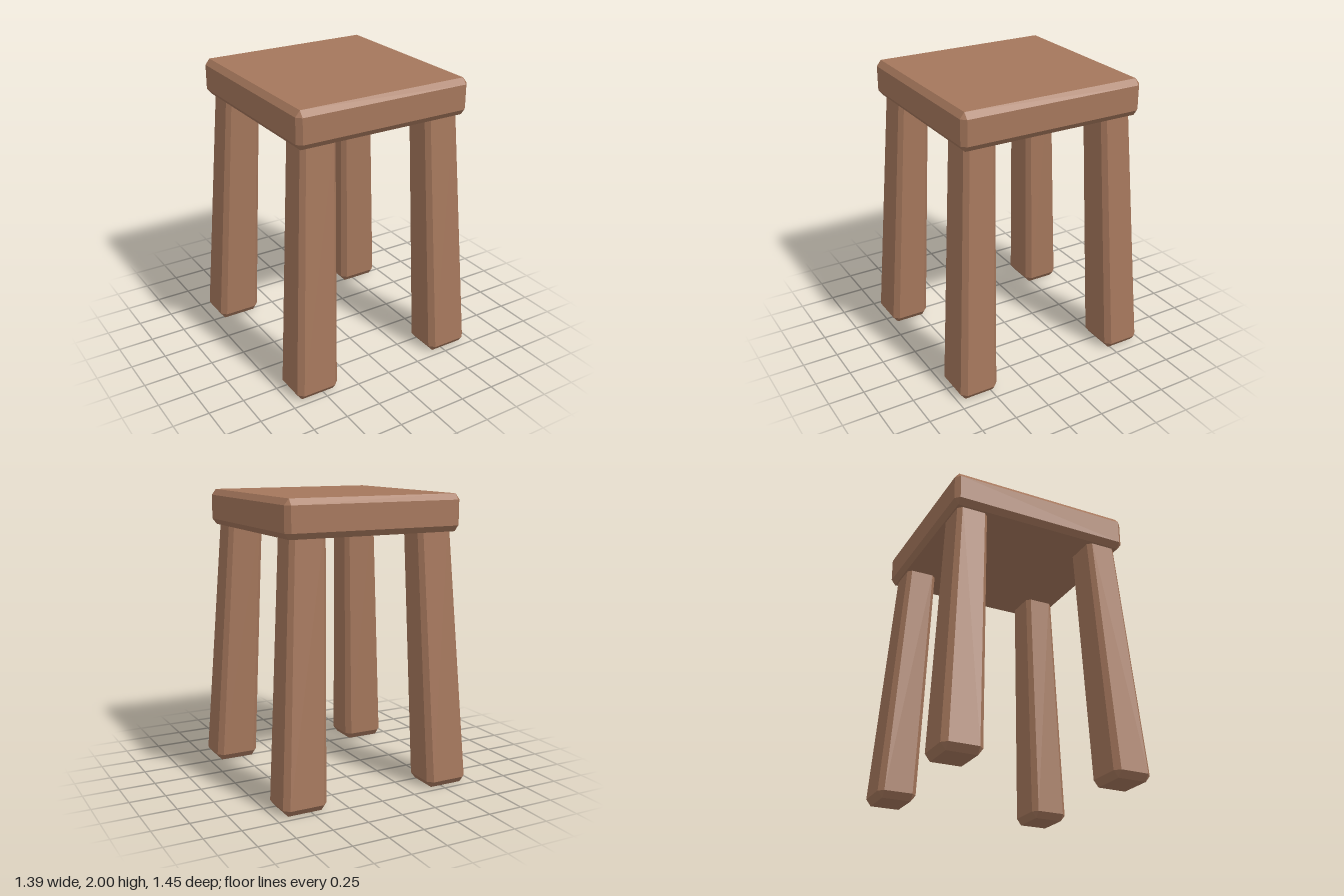
import * as THREE from 'three';
import { ConvexGeometry } from 'three/addons/geometries/ConvexGeometry.js';

// Rectangle at height y, given as x and z ranges; bevel cuts its corners.
function section(y, [x0, x1], [z0, z1], bevel = 0) {
  const points = [];
  for (const [x, sx] of [[x0, 1], [x1, -1]]) {
    for (const [z, sz] of [[z0, 1], [z1, -1]]) {
      if (bevel > 0) {
        points.push(new THREE.Vector3(x + sx * bevel, y, z), new THREE.Vector3(x, y, z + sz * bevel));
      } else {
        points.push(new THREE.Vector3(x, y, z));
      }
    }
  }
  return points;
}

const mirrored = ([a, b], sign) => (sign > 0 ? [a, b] : [-b, -a]);

export function createModel() {
  const stool = new THREE.Group();
  stool.name = 'stool';
  const wood = new THREE.MeshStandardMaterial({ color: 0xa5775c });
  wood.name = 'brown wood';

  const addPart = (name, sections) => {
    const mesh = new THREE.Mesh(new ConvexGeometry(sections.flat()), wood);
    mesh.name = name;
    stool.add(mesh);
  };

  // Seat: a thick slab with every edge bevelled
  const outerX = [-0.637, 0.637], outerZ = [-0.657, 0.657];
  const innerX = [-0.605, 0.605], innerZ = [-0.626, 0.626];
  addPart('seat', [
    section(1.75, innerX, innerZ),
    section(1.79, outerX, outerZ, 0.032),
    section(1.96, outerX, outerZ, 0.032),
    section(2, innerX, innerZ),
  ]);

  // Legs: splayed, tapering upwards, with bevelled edges and feet
  for (const sx of [-1, 1]) {
    for (const sz of [-1, 1]) {
      const at = (y, x, z, bevel) => section(y, mirrored(x, sx), mirrored(z, sz), bevel);
      addPart(`${sz > 0 ? 'front' : 'back'}${sx > 0 ? 'Left' : 'Right'}Leg`, [
        at(0, [0.424, 0.662], [0.487, 0.692]),
        at(0.045, [0.388, 0.697], [0.453, 0.727], 0.036),
        at(1.78, [0.337, 0.588], [0.394, 0.614], 0.028),
      ]);
    }
  }
  return stool;
}
